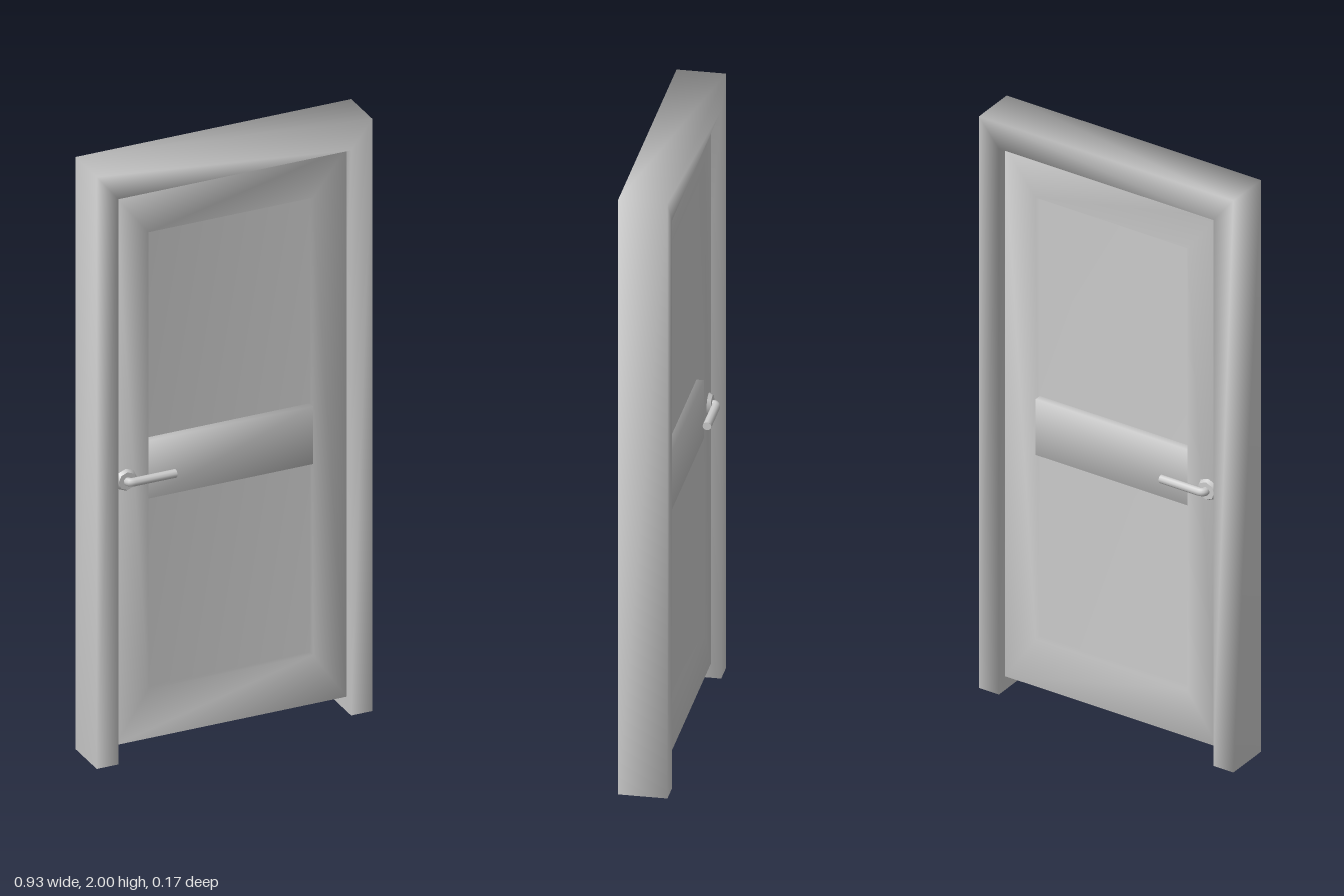
import * as THREE from 'three';

const material = new THREE.MeshStandardMaterial({ color: 0xcccccc });

// Smooth skin over a row of four-cornered loops, closed at both ends.
function loft(loops) {
  const index = [];
  for (let k = 0; k < loops.length - 1; k++) {
    for (let i = 0; i < 4; i++) {
      const j = (i + 1) % 4;
      const a = k * 4 + i, b = k * 4 + j, c = b + 4, d = a + 4;
      index.push(a, d, b, b, d, c);
    }
  }
  const e = (loops.length - 1) * 4;
  index.push(0, 1, 2, 0, 2, 3, e, e + 2, e + 1, e, e + 3, e + 2);
  const geo = new THREE.BufferGeometry();
  geo.setAttribute('position', new THREE.Float32BufferAttribute(loops.flat(2), 3));
  geo.setIndex(index);
  geo.computeVertexNormals();
  return geo;
}

// Upright rectangle at depth z, counter-clockwise from the front.
const rect = ([x0, x1, y0, y1], z) => [[x0, y0, z], [x1, y0, z], [x1, y1, z], [x0, y1, z]];

function addMesh(parent, name, geometry) {
  const mesh = new THREE.Mesh(geometry, material);
  mesh.name = name;
  parent.add(mesh);
  return mesh;
}

// Rose plate, bent lever and its flat tip, facing +z.
function makeHandle(name, face) {
  const handle = new THREE.Group();
  handle.name = name;
  const x = -0.35, y = 0.94;

  const rose = addMesh(handle, 'handleRose', new THREE.CylinderGeometry(0.03, 0.037, 0.012, 8));
  rose.rotation.x = Math.PI / 2;
  rose.position.set(x, y, face + 0.006);

  const path = new THREE.CurvePath();
  const p = (px, pz) => new THREE.Vector3(px, y, pz);
  path.add(new THREE.LineCurve3(p(x, face), p(x, 0.058)));
  path.add(new THREE.QuadraticBezierCurve3(p(x, 0.058), p(x, 0.07), p(x + 0.018, 0.07)));
  path.add(new THREE.LineCurve3(p(x + 0.018, 0.07), p(-0.195, 0.07)));
  addMesh(handle, 'handleLever', new THREE.TubeGeometry(path, 40, 0.0135, 10, false));

  const tip = addMesh(handle, 'handleTip', new THREE.CircleGeometry(0.0135, 10));
  tip.rotation.y = Math.PI / 2;
  tip.position.set(-0.195, y, 0.07);
  return handle;
}

export function createModel() {
  const door = new THREE.Group();
  door.name = 'door';

  // Surround: a rectangular section led up, across and down with mitred corners
  const outer = 0.4625, inner = 0.39, depth = 0.076;
  const corners = [[-1, 0, 0], [-1, 2, 1.91], [1, 2, 1.91], [1, 0, 0]];
  addMesh(door, 'doorFrame', loft(corners.map(([s, yo, yi]) => [
    [s * outer, yo, -depth], [s * inner, yi, -depth],
    [s * inner, yi, depth], [s * outer, yo, depth],
  ])));

  // Leaf with a sunken panel on both faces
  const face = 0.045, sunk = 0.022;
  const edge = [-0.385, 0.389, 0.05, 1.905];
  const panel = [-0.275, 0.277, 0.215, 1.76];
  addMesh(door, 'doorLeaf', loft([
    rect(panel, sunk), rect(panel, face), rect(edge, face),
    rect(edge, -face), rect(panel, -face), rect(panel, -sunk),
  ]));

  // Rail across the middle of the panel
  const rail = [-0.275, 0.277, 0.86, 1.055];
  addMesh(door, 'middleRail', loft([rect(rail, face), rect(rail, -face)]));

  // A handle on each face
  door.add(makeHandle('frontHandle', face));
  const back = makeHandle('backHandle', face);
  back.scale.z = -1;
  door.add(back);

  return door;
}
